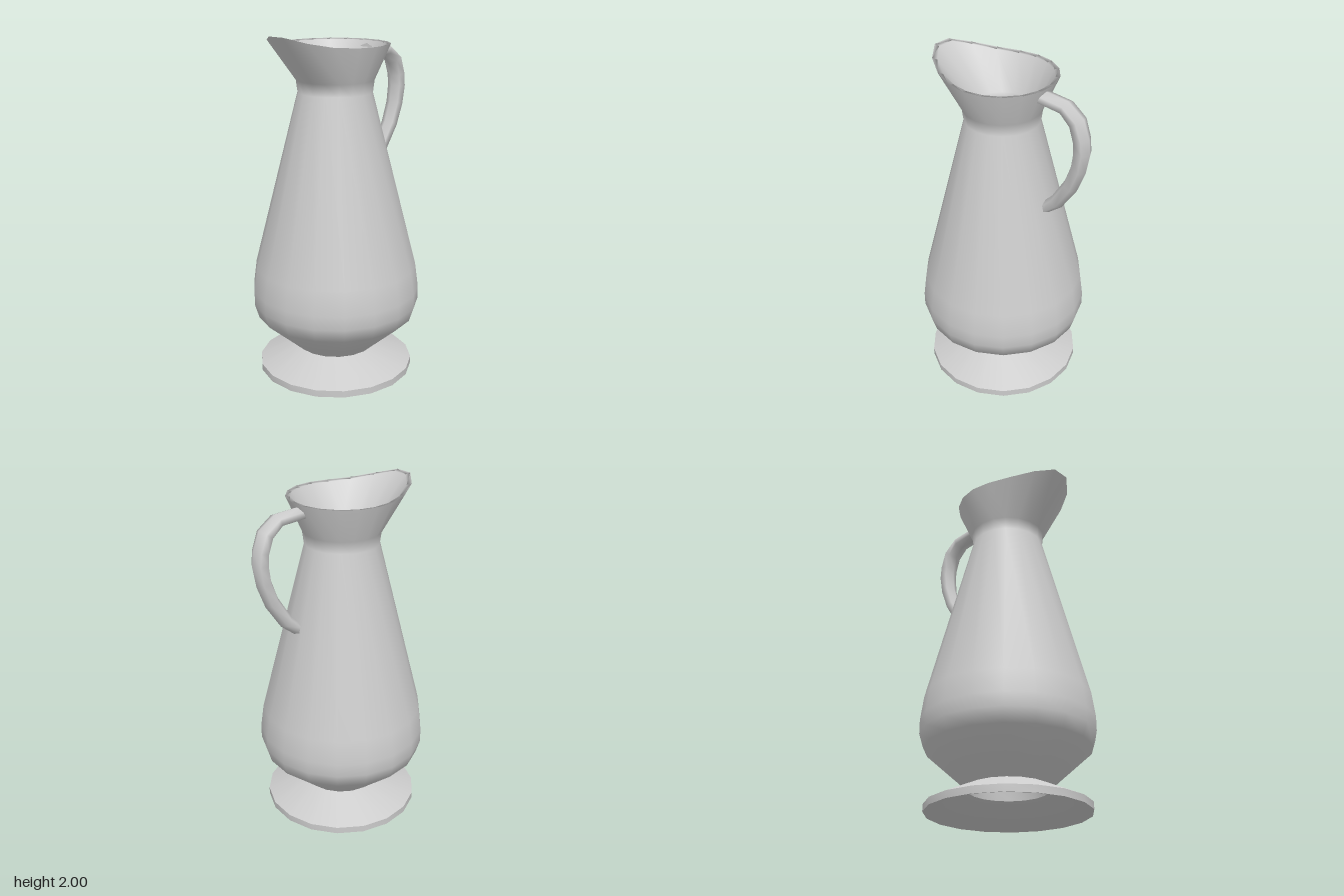
import * as THREE from 'three';
import { mergeVertices, toCreasedNormals } from 'three/addons/utils/BufferGeometryUtils.js';

const SIDES = 18;
const AXIS_X = -0.05;
const NECK_Y = 1.74, RIM_Y = 1.94, RIM_R = 0.31;
const material = new THREE.MeshStandardMaterial({ color: 0xcccccc });

function lathe(profile) {
  const geo = new THREE.LatheGeometry(profile.map(([r, y]) => new THREE.Vector2(r, y)), SIDES);
  geo.deleteAttribute('uv');
  geo.deleteAttribute('normal');
  return mergeVertices(geo, 1e-4);
}

function addMesh(group, name, geo) {
  const mesh = new THREE.Mesh(geo, material);
  mesh.name = name;
  group.add(mesh);
  return mesh;
}

// Pull the -x side of the flared mouth outward and up into a pouring lip
function pullSpout(geo) {
  const p = geo.attributes.position;
  for (let i = 0; i < p.count; i++) {
    const x = p.getX(i), y = p.getY(i);
    if (y <= NECK_Y || x >= 0) continue;
    const w = (y - NECK_Y) / (RIM_Y - NECK_Y);
    const t = Math.min(1, -x / Math.hypot(x, p.getZ(i)));
    p.setX(i, x - 0.14 * w * t ** 2.7);
    p.setY(i, y + 0.066 * w * t ** 5);
  }
}

// Six-sided tapering tube lying in the xy plane; rows are x, y, radius in plane, radius across
function handleGeometry(rows) {
  const n = 6, pos = [], index = [];
  rows.forEach(([x, y, r, rz], i) => {
    const a = rows[Math.max(0, i - 1)], b = rows[Math.min(rows.length - 1, i + 1)];
    const len = Math.hypot(b[0] - a[0], b[1] - a[1]);
    const tx = (b[0] - a[0]) / len, ty = (b[1] - a[1]) / len;
    for (let j = 0; j < n; j++) {
      const ang = (j / n) * Math.PI * 2, c = Math.cos(ang) * r;
      pos.push(x - ty * c, y + tx * c, Math.sin(ang) * rz);
    }
  });
  for (let i = 0; i < rows.length - 1; i++) {
    for (let j = 0; j < n; j++) {
      const a = i * n + j, b = i * n + (j + 1) % n;
      index.push(a, b, a + n, b, b + n, a + n);
    }
  }
  // End caps
  const last = (rows.length - 1) * n;
  for (let j = 1; j < n - 1; j++) {
    index.push(0, j + 1, j, last, last + j, last + j + 1);
  }
  const geo = new THREE.BufferGeometry();
  geo.setAttribute('position', new THREE.Float32BufferAttribute(pos, 3));
  geo.setIndex(index);
  return toCreasedNormals(geo, 1.25);
}

export function createModel() {
  const group = new THREE.Group();
  group.name = 'pitcher';

  // Hollow foot: recessed underside, thin rim, sloping top
  const foot = lathe([
    [0, 0.18], [0.22, 0.18], [0.225, 0.125], [0.455, 0], [0.46, 0], [0.46, 0.04], [0.235, 0.14],
  ]);
  addMesh(group, 'foot', toCreasedNormals(foot, 0.7)).position.x = AXIS_X;

  // Body: outer wall up to the rim, then the inner wall down to the floor
  const body = lathe([
    [0.235, 0.14], [0.29, 0.19], [0.47, 0.35], [0.494, 0.43], [0.494, 0.51], [0.475, 0.65],
    [0.213, 1.67], [0.222, 1.74], [RIM_R, RIM_Y],
    [0.283, 1.935], [0.185, 1.74], [0.172, 1.67], [0.435, 0.65], [0.452, 0.5],
    [0.43, 0.37], [0.26, 0.22], [0, 0.2],
  ]);
  pullSpout(body);
  body.computeVertexNormals();
  addMesh(group, 'body', body).position.x = AXIS_X;

  // Handle from under the rim down to the upper body
  addMesh(group, 'handle', handleGeometry([
    [0.21, 1.885, 0.036, 0.055], [0.375, 1.871, 0.037, 0.056], [0.45, 1.81, 0.045, 0.056],
    [0.481, 1.72, 0.047, 0.054], [0.487, 1.65, 0.049, 0.053], [0.471, 1.545, 0.046, 0.051],
    [0.426, 1.425, 0.044, 0.049], [0.338, 1.29, 0.041, 0.047], [0.262, 1.222, 0.034, 0.044],
  ]));

  return group;
}
